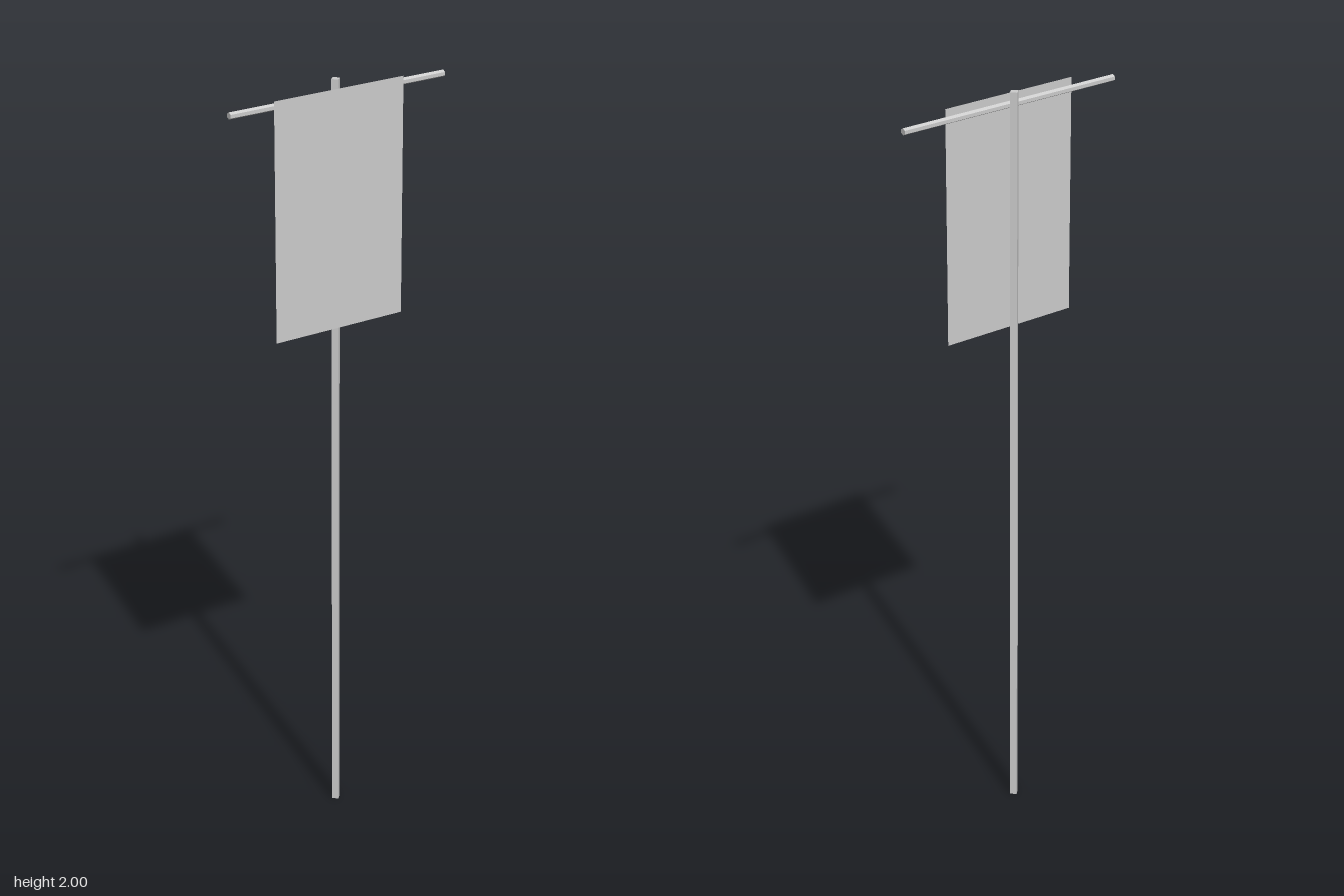
import * as THREE from 'three';

const material = new THREE.MeshStandardMaterial({ color: 0xcccccc, flatShading: true });
const clothMaterial = new THREE.MeshStandardMaterial({ color: 0xcccccc, side: THREE.DoubleSide });

export function createModel() {
  const group = new THREE.Group();
  const add = (name, geometry, mat, x, y, z) => {
    const mesh = new THREE.Mesh(geometry, mat);
    mesh.name = name;
    mesh.position.set(x, y, z);
    group.add(mesh);
  };

  // Four-sided upright, one edge facing forward
  add('pole', new THREE.CylinderGeometry(0.0125, 0.0125, 2, 4), material, 0, 1, -0.0105);

  // Six-sided bar lying along x, one edge on top
  const bar = new THREE.CylinderGeometry(0.0087, 0.0087, 0.616, 6, 1, false, Math.PI / 2);
  bar.rotateZ(Math.PI / 2);
  add('crossbar', bar, material, 0, 1.965, 0.003);

  // Flat cloth hanging just in front of the bar, slightly off centre
  add('banner', new THREE.PlaneGeometry(0.371, 0.608), clothMaterial, -0.01, 1.681, 0.022);

  return group;
}
